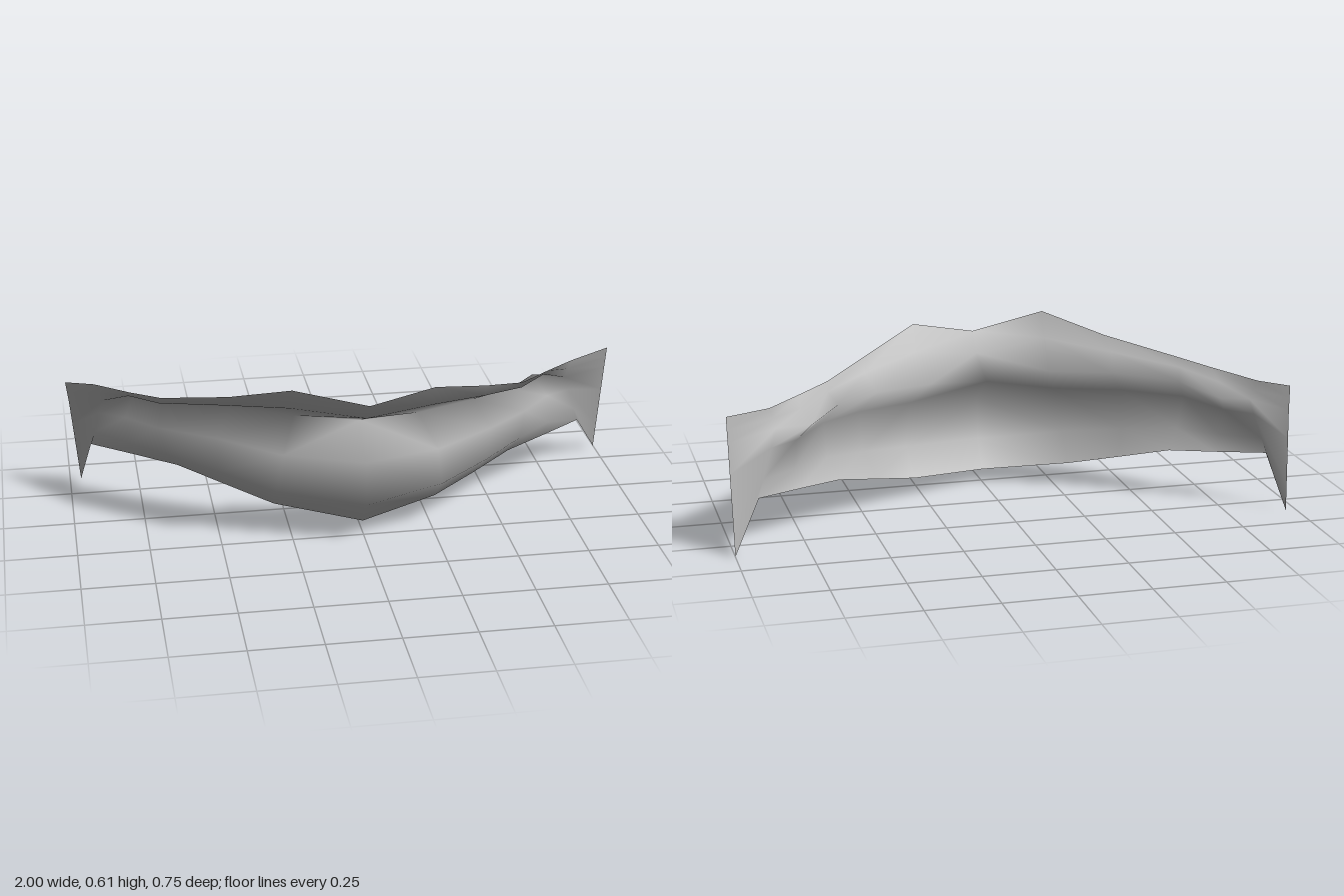
import * as THREE from 'three';

// Long edge lines of the open lip surface, from the right end (-x) to the left end (+x)
const topEdge = [
  [-1, .435, -.275], [-.9, .445, -.215], [-.78, .465, -.07], [-.68, .485, .045], [-.46, .54, .205], [-.26, .61, .35],
  [0, .545, .373],
  [.23, .59, .35], [.44, .52, .2], [.6, .47, .075], [.72, .46, -.04], [.84, .45, -.15], [1, .455, -.24],
];
const mouthLine = [
  [-.99, .35, -.295], [-.87, .38, -.215], [-.76, .39, -.22], [-.66, .418, -.06], [-.44, .438, .05], [-.23, .432, .15],
  [0, .405, .165],
  [.21, .413, .15], [.42, .417, .075], [.58, .408, -.02], [.7, .39, -.18], [.82, .38, -.16], [1, .37, -.263],
];
const bottomEdge = [
  [-.96, .005, -.375], [-.92, .19, -.267], [-.76, .178, -.17], [-.62, .168, -.08], [-.46, .126, .02], [-.3, .085, .12],
  [0, .05, .235],
  [.28, .073, .12], [.44, .11, .03], [.59, .147, -.06], [.74, .156, -.15], [.9, .165, -.25], [1, .003, -.36],
];

// Fullness and outward turn (degrees) of the lips, by steps from the middle to each end
const fullness = [1, 1, .75, .55, .45, 0, 0];
const turn = [0, 15, 32, 40, 40, 40, 40];

// A line part way between two edges, pushed outward by the fullness
function bulgedLine(from, to, t, depth) {
  return from.map((p, i) => {
    const step = Math.abs(i - 6);
    const angle = THREE.MathUtils.degToRad(turn[step]) * Math.sign(i - 6);
    const push = depth * fullness[step];
    const q = p.map((v, k) => THREE.MathUtils.lerp(v, to[i][k], t));
    return [q[0] + push * Math.sin(angle), q[1], q[2] + push * Math.cos(angle)];
  });
}

// Smooth surface through a list of lines, ordered top to bottom
function loft(lines) {
  const n = lines[0].length;
  const index = [];
  for (let r = 0; r < lines.length - 1; r++) {
    for (let c = 0; c < n - 1; c++) {
      const a = r * n + c, b = a + n;
      // Mirror the diagonals about the middle
      if (c < 6) index.push(a, b, a + 1, a + 1, b, b + 1);
      else index.push(a, b, b + 1, a, b + 1, a + 1);
    }
  }
  const geometry = new THREE.BufferGeometry();
  geometry.setAttribute('position', new THREE.Float32BufferAttribute(lines.flat(2), 3));
  geometry.setIndex(index);
  geometry.computeVertexNormals();
  return geometry;
}

export function createModel() {
  const group = new THREE.Group();
  group.name = 'lipsModel';
  const grey = new THREE.MeshStandardMaterial({ color: 0xb0b0b0, side: THREE.DoubleSide });
  grey.name = 'grey';

  // Upper lip rolls in to the mouth line, lower lip swells out below it
  const lips = new THREE.Mesh(loft([
    topEdge,
    bulgedLine(topEdge, mouthLine, .5, .045),
    mouthLine,
    bulgedLine(mouthLine, bottomEdge, .28, .125),
    bulgedLine(mouthLine, bottomEdge, .73, .095),
    bottomEdge,
  ]), grey);
  lips.name = 'lips';
  group.add(lips);
  return group;
}
